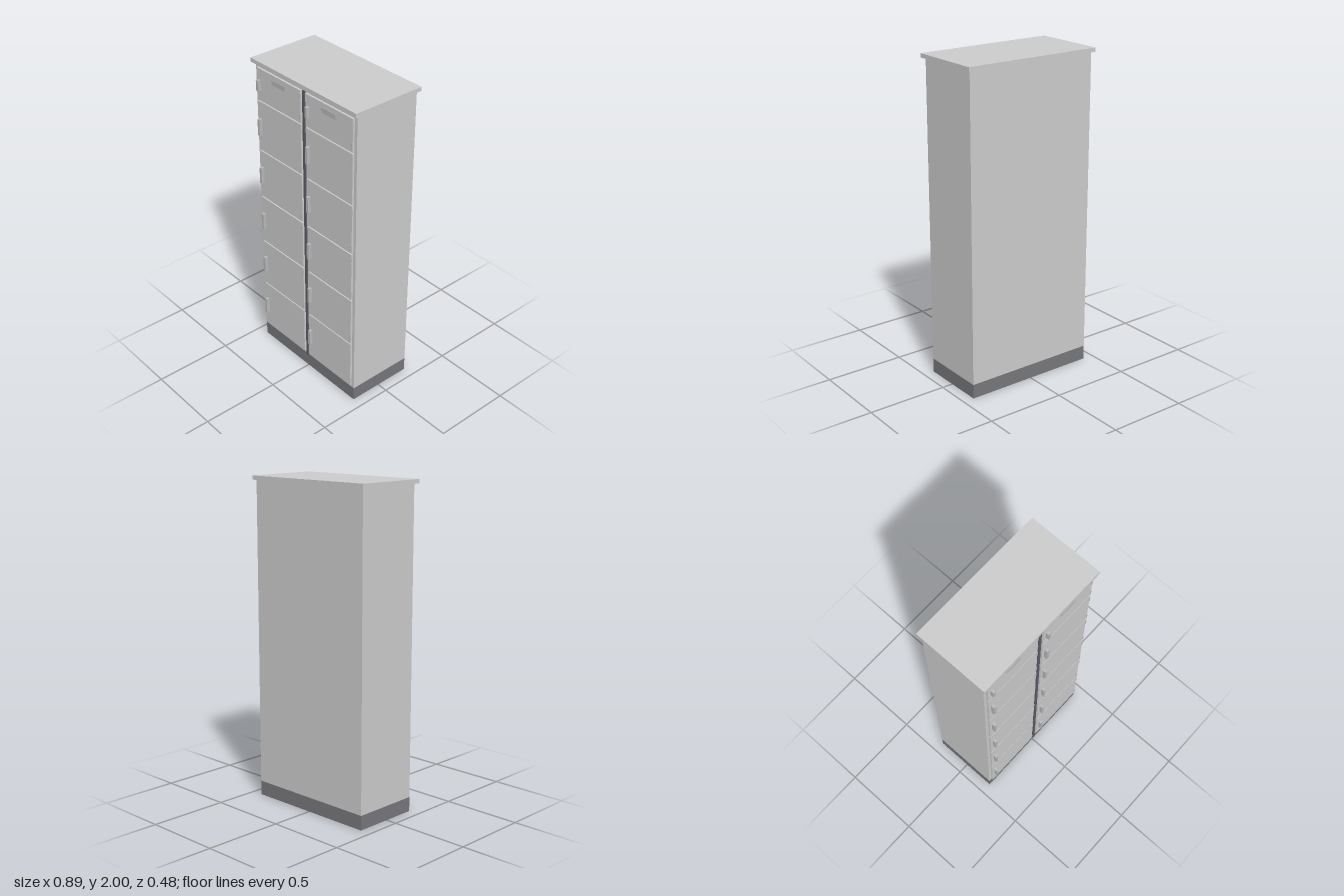
import * as THREE from 'three';

const grey = new THREE.MeshStandardMaterial({ color: 0xcccccc });
const handleGrey = new THREE.MeshStandardMaterial({ color: 0xb8b8b8 });
const baseDark = new THREE.MeshStandardMaterial({ color: 0x77777b });
const stripDark = new THREE.MeshStandardMaterial({ color: 0x5c5c66 });

// Box given by its min and max along each axis
function box(parent, name, [x0, x1], [y0, y1], [z0, z1], material = grey) {
  const mesh = new THREE.Mesh(new THREE.BoxGeometry(x1 - x0, y1 - y0, z1 - z0), material);
  mesh.position.set((x0 + x1) / 2, (y0 + y1) / 2, (z0 + z1) / 2);
  mesh.name = name;
  parent.add(mesh);
  return mesh;
}

const FRONT = 0.206, BACK = -0.224, DOOR_FRONT = 0.219;
const DOOR_W = 0.389;

// One compartment door with its handle, two hinges and an optional label plate
function makeDoor(x0, [y0, y1], isTop) {
  const door = new THREE.Group();
  door.name = 'door';
  const x1 = x0 + DOOR_W, cy = (y0 + y1) / 2;
  box(door, 'doorPanel', [x0, x1], [y0, y1], [FRONT, DOOR_FRONT]);

  const half = isTop ? 0.032 : 0.053;
  box(door, 'handle', [x0 + 0.018, x0 + 0.035], [cy - half, cy + half], [DOOR_FRONT, 0.241], handleGrey);

  for (const y of [y0 + 0.04, y1 - 0.04]) {
    const hinge = new THREE.Mesh(new THREE.CylinderGeometry(0.004, 0.004, 0.04, 12), handleGrey);
    hinge.position.set(x1 - 0.003, y, DOOR_FRONT);
    hinge.name = 'hinge';
    door.add(hinge);
  }
  if (isTop) {
    const cx = (x0 + x1) / 2;
    box(door, 'labelPlate', [cx - 0.058, cx + 0.058], [1.89, 1.921], [DOOR_FRONT, 0.221], handleGrey);
  }
  return door;
}

export function createModel() {
  const locker = new THREE.Group();
  locker.name = 'lockerCabinet';

  // Plinth, body and overhanging top
  box(locker, 'plinth', [-0.43, 0.43], [0, 0.09], [BACK, FRONT], baseDark);
  box(locker, 'body', [-0.43, 0.43], [0.09, 1.975], [BACK, FRONT]);
  box(locker, 'topSlab', [-0.447, 0.447], [1.975, 2], [-0.241, 0.231]);

  // Dark divider between the two columns
  box(locker, 'centreStrip', [-0.009, 0.009], [0.09, 1.957], [FRONT, 0.217], stripDark);

  // Two columns of doors, bottom to top
  const rows = [[0.109, 0.43], [0.438, 0.756], [0.765, 1.084], [1.093, 1.41], [1.418, 1.74], [1.748, 1.951]];
  for (const x0 of [-0.41, 0.021]) {
    rows.forEach((row, i) => locker.add(makeDoor(x0, row, i === rows.length - 1)));
  }
  return locker;
}
